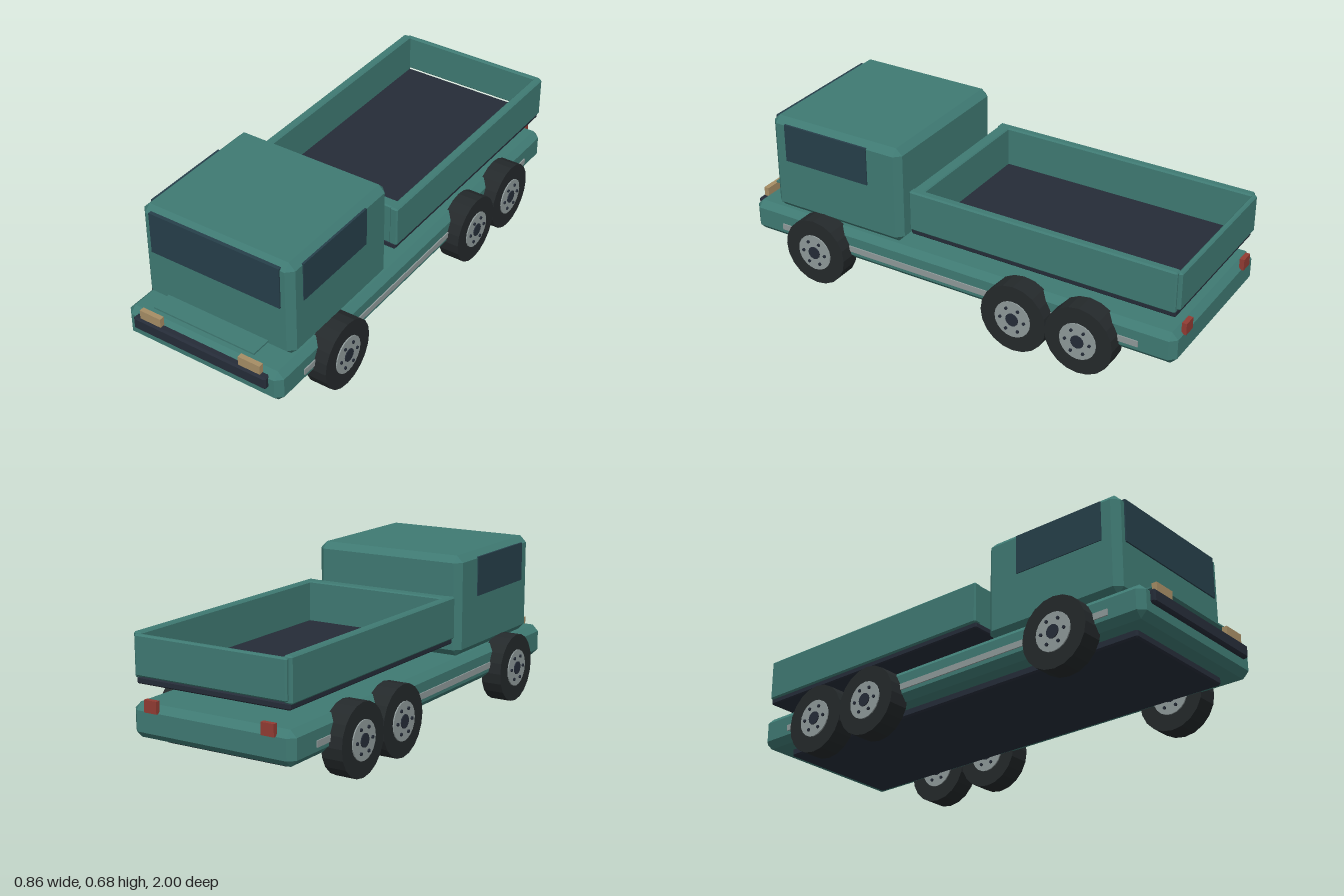
import * as THREE from 'three';
import { ConvexGeometry } from 'three/addons/geometries/ConvexGeometry.js';

const mat = (color) => new THREE.MeshStandardMaterial({ color, flatShading: true });

export function createModel() {
  const truck = new THREE.Group();
  truck.name = 'truck';

  const paint = mat(0x3f7a73), dark = mat(0x252c38), glass = mat(0x263f4a), rubber = mat(0x24292b);
  const metal = mat(0x8f9a9a), amber = mat(0xa68d65), red = mat(0x923c33);

  const add = (name, geometry, material, parent = truck) => {
    const mesh = new THREE.Mesh(geometry, material);
    mesh.name = name;
    parent.add(mesh);
    return mesh;
  };

  // Box given by its limits on each axis, with all edges cut by c
  const block = (name, [x0, x1], [y0, y1], [z0, z1], material, c = 0) => {
    const size = [x1 - x0, y1 - y0, z1 - z0];
    let geometry;
    if (c === 0) geometry = new THREE.BoxGeometry(...size);
    else {
      const points = [];
      for (const sx of [-1, 1]) for (const sy of [-1, 1]) for (const sz of [-1, 1]) {
        for (let axis = 0; axis < 3; axis++) {
          const p = size.map((s, i) => s / 2 - (i === axis ? 0 : c));
          points.push(new THREE.Vector3(p[0] * sx, p[1] * sy, p[2] * sz));
        }
      }
      geometry = new ConvexGeometry(points);
    }
    add(name, geometry, material).position.set((x0 + x1) / 2, (y0 + y1) / 2, (z0 + z1) / 2);
  };

  // Chassis
  block('chassis', [-0.364, 0.364], [0.125, 0.262], [-0.99, 0.98], paint, 0.027);
  block('underbody', [-0.277, 0.277], [0.095, 0.15], [-0.9, 0.893], dark, 0.007);

  // Cab and its glass
  block('cab', [-0.346, 0.346], [0.262, 0.683], [0.24, 0.872], paint, 0.028);
  block('windshield', [-0.298, 0.298], [0.485, 0.665], [0.86, 0.878], glass);
  block('hoodPanel', [-0.236, 0.236], [0.295, 0.302], [0.86, 0.96], paint);

  // Front bumper
  block('frontBumper', [-0.312, 0.312], [0.19, 0.245], [0.965, 1.0], dark, 0.007);

  // Cargo bed
  block('bedFloor', [-0.345, 0.345], [0.333, 0.36], [-0.975, 0.188], dark, 0.005);
  block('bedFrontWall', [-0.34, 0.34], [0.35, 0.53], [0.135, 0.185], paint, 0.005);
  block('tailgate', [-0.34, 0.34], [0.365, 0.525], [-0.99, -0.968], paint, 0.006);

  // Parts mirrored on both sides
  for (const s of [-1, 1]) {
    const side = s > 0 ? 'left' : 'right';
    const span = (a, b) => (s > 0 ? [a, b] : [-b, -a]);
    block(side + 'Window', span(0.335, 0.35), [0.495, 0.66], [0.395, 0.8], glass);
    block(side + 'BedWall', span(0.318, 0.354), [0.355, 0.53], [-0.975, 0.19], paint, 0.006);
    block(side + 'SideRail', span(0.355, 0.369), [0.168, 0.194], [-0.84, 0.83], metal);
    block(side + 'Headlight', span(0.183, 0.282), [0.225, 0.284], [0.968, 0.99], amber);
    block(side + 'TailLight', span(0.235, 0.292), [0.235, 0.284], [-1.0, -0.98], red);
  }

  // Wheels: tyre, hub, centre cap and a ring of bolts
  const disc = (r, w, n) => new THREE.CylinderGeometry(r, r, w, n).rotateZ(Math.PI / 2);
  const tyreGeo = disc(0.146, 0.09, 20), hubGeo = disc(0.079, 0.1, 20);
  const capGeo = disc(0.028, 0.108, 12), boltGeo = disc(0.007, 0.112, 6);
  for (const s of [-1, 1]) {
    for (const z of [0.625, -0.328, -0.615]) {
      const wheel = new THREE.Group();
      wheel.name = (s > 0 ? 'left' : 'right') + 'Wheel';
      wheel.position.set(s * 0.375, 0.146, z);
      add('tyre', tyreGeo, rubber, wheel);
      add('hub', hubGeo, metal, wheel);
      add('hubCap', capGeo, dark, wheel);
      for (let i = 0; i < 6; i++) {
        const a = (i / 6) * Math.PI * 2;
        add('bolt', boltGeo, dark, wheel).position.set(0, Math.sin(a) * 0.053, Math.cos(a) * 0.053);
      }
      truck.add(wheel);
    }
  }
  return truck;
}
